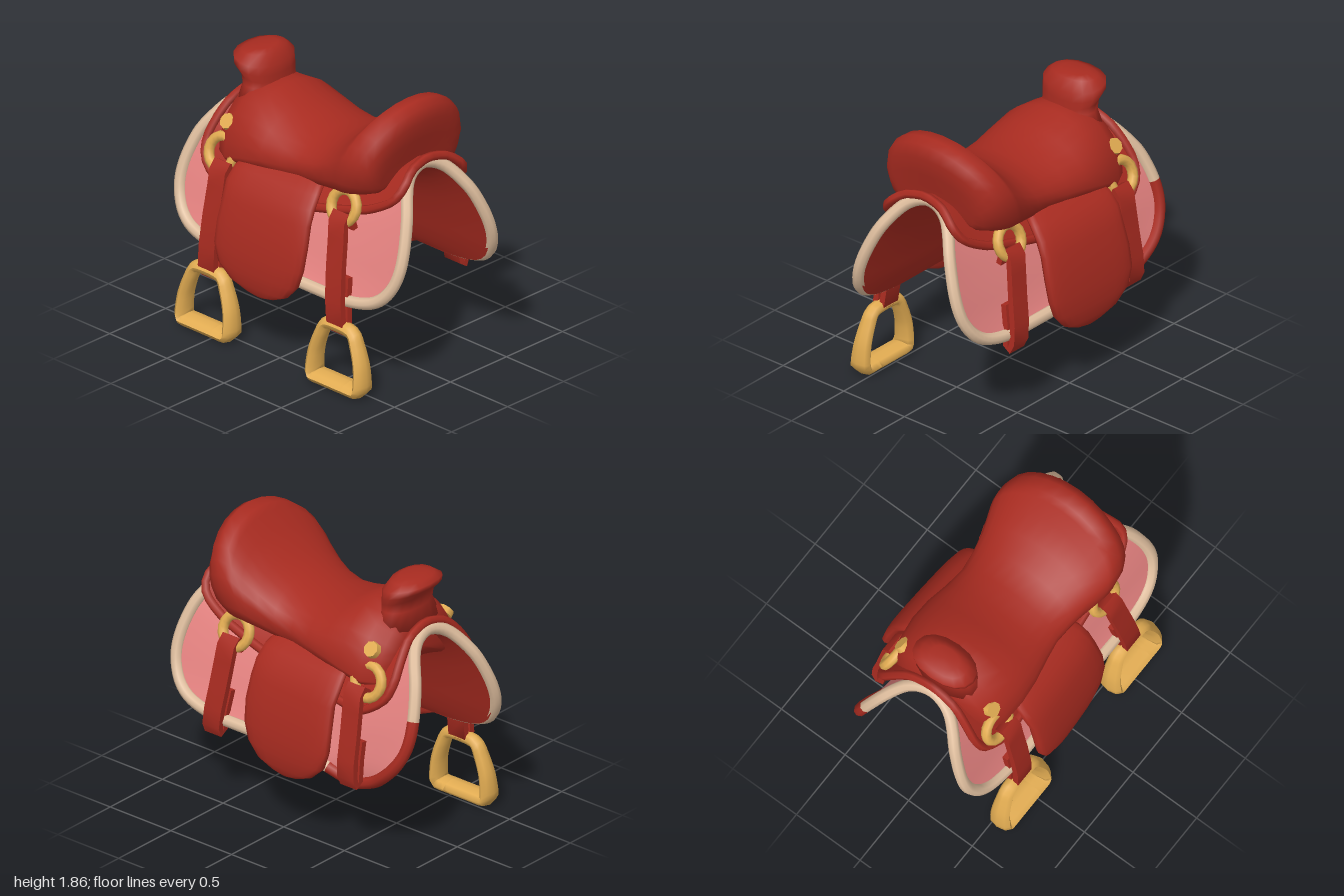
import * as THREE from 'three';
import { toCreasedNormals } from 'three/addons/utils/BufferGeometryUtils.js';

const V = (x, y, z) => new THREE.Vector3(x, y, z);

function createGeometry(points, index) {
  const g = new THREE.BufferGeometry().setFromPoints(points);
  g.setIndex(index);
  g.computeVertexNormals();
  return g;
}

// Open sheet from f(u, v), u and v in 0..1
function sheet(f, nu, nv, flip = false) {
  const pts = [], idx = [];
  for (let i = 0; i <= nu; i++) for (let j = 0; j <= nv; j++) pts.push(f(i / nu, j / nv));
  for (let i = 0; i < nu; i++) for (let j = 0; j < nv; j++) {
    const a = i * (nv + 1) + j, b = a + nv + 1, c = a + 1, d = b + 1;
    if (flip) idx.push(a, c, b, b, c, d);
    else idx.push(a, b, c, b, d, c);
  }
  return createGeometry(pts, idx);
}

// Closed solid through rings of equal length, capped at both ends
function loft(rings) {
  const n = rings[0].length, pts = rings.flat(), idx = [];
  for (let i = 0; i < rings.length - 1; i++) for (let j = 0; j < n; j++) {
    const a = i * n + j, b = i * n + (j + 1) % n;
    idx.push(a, b, a + n, b, b + n, a + n);
  }
  [rings[0], rings[rings.length - 1]].forEach((ring, end) => {
    const c = pts.length, base = end ? (rings.length - 1) * n : 0;
    pts.push(ring.reduce((s, p) => s.add(p), V(0, 0, 0)).divideScalar(n));
    for (let j = 0; j < n; j++) {
      const a = base + j, b = base + (j + 1) % n;
      if (end) idx.push(c, a, b); else idx.push(c, b, a);
    }
  });
  // turn the faces outward if the solid came out inverted
  let volume = 0;
  for (let i = 0; i < idx.length; i += 3) {
    volume += pts[idx[i]].dot(V(0, 0, 0).crossVectors(pts[idx[i + 1]], pts[idx[i + 2]]));
  }
  if (volume < 0) idx.reverse();
  return createGeometry(pts, idx);
}

// Rounded section; e = 1 is an ellipse, smaller is boxier
function ringOf(n, e, f) {
  const pw = (c) => Math.sign(c) * Math.abs(c) ** e;
  return Array.from({ length: n }, (_, i) => {
    const a = (i / n) * Math.PI * 2;
    return f(pw(Math.cos(a)), pw(Math.sin(a)));
  });
}

// Pad half profile from spine to hem: half length, height, width
const padProfile = new THREE.CatmullRomCurve3([
  [0.75, 1.44, 0], [0.77, 1.41, 0.12], [0.82, 1.34, 0.2], [0.9, 1.21, 0.285], [0.945, 1.06, 0.35],
  [0.96, 0.92, 0.4], [0.935, 0.8, 0.435], [0.86, 0.69, 0.47], [0.74, 0.625, 0.49], [0.5, 0.59, 0.5],
].map((p) => V(...p)));

function padPoint(s, v) {
  const t = Math.abs(s), p = padProfile.getPoint(t), x = p.x * v;
  const middle = 1 - Math.min(1, v * v); // lower and narrower midway along
  const y = p.y - 0.23 * middle * (1 - t) ** 1.4;
  // one back corner droops and curls inward
  const droop = s < 0 ? t ** 4 * Math.exp(-(((x + 0.58) / 0.3) ** 2)) : 0;
  const z = p.z * (1 - 0.06 * middle * Math.sin(Math.PI * t)) * (1 - 0.18 * droop);
  return V(x, y - 0.15 * droop, Math.sign(s) * z);
}

export function createModel() {
  const model = new THREE.Group();
  const material = (name, color, side = THREE.FrontSide) => {
    const m = new THREE.MeshStandardMaterial({ color, side });
    m.name = name;
    return m;
  };
  const leather = material('red leather', 0xa82b20, THREE.DoubleSide);
  const felt = material('pink felt', 0xe58280);
  const piping = material('tan piping', 0xdfbe9e);
  const brass = material('brass', 0xe2ac52);
  const add = (name, geometry, mat) => {
    const mesh = new THREE.Mesh(geometry, mat);
    mesh.name = name;
    model.add(mesh);
    return mesh;
  };

  // Saddle pad and its lining
  add('pad', sheet((u, v) => padPoint(u * 2 - 1, v * 2 - 1), 40, 24), felt);
  add('padLining', sheet((u, v) => {
    const p = padPoint(u * 2 - 1, v * 2 - 1);
    return V(p.x, p.y - 0.025, p.z * 0.93);
  }, 40, 24, true), leather);

  // Edge piping, red around the drooping corner
  const edge = [], N = 24;
  const corners = [[-1, 1], [-1, -1], [1, -1], [1, 1]];
  corners.forEach(([s, v], k) => {
    const [s2, v2] = corners[(k + 1) % 4];
    for (let i = 0; i < N; i++) {
      const f = i / N;
      edge.push(padPoint(s + (s2 - s) * f, v + (v2 - v) * f));
    }
  });
  const radial = 8, segs = 200;
  const pipe = new THREE.TubeGeometry(new THREE.CatmullRomCurve3(edge, true), segs, 0.04, radial, true);
  [[0, 22, 0], [22, 48, 1], [48, segs, 0]].forEach(([a, b, m]) =>
    pipe.addGroup(a * radial * 6, (b - a) * radial * 6, m));
  add('padPiping', pipe, [piping, leather]);

  // Leather skirt between pad and seat
  const skirtPoint = (u, v) => {
    const r = u * 2 - 1, w = v * 2 - 1, a = Math.abs(r);
    const x = 0.03 + 0.77 * w * (1 + 0.16 * a ** 2 - 0.4 * a ** 8);
    const s = r * (0.42 - 0.08 * w);
    const p = padPoint(s, x / padProfile.getPoint(Math.abs(s)).x);
    return V(x, p.y + 0.055, p.z * 1.22);
  };
  add('skirt', sheet(skirtPoint, 24, 20), leather);
  const skirtEdge = [];
  [[0, 1], [0, 0], [1, 0], [1, 1]].forEach(([u, v], k, all) => {
    const [u2, v2] = all[(k + 1) % 4];
    for (let i = 0; i < 14; i++) skirtEdge.push(skirtPoint(u + (u2 - u) * i / 14, v + (v2 - v) * i / 14));
  });
  add('skirtEdge', new THREE.TubeGeometry(new THREE.CatmullRomCurve3(skirtEdge, true), 90, 0.03, 6, true), leather);

  // Seat and cantle: base x, backward lean, half width, top, widest and bottom heights
  const seat = [
    [-0.71, 0, 0.26, 1.47, 1.26, 1.2], [-0.66, 0, 0.37, 1.56, 1.18, 1.14], [-0.56, 0, 0.425, 1.61, 1.18, 1.13],
    [-0.4, 0, 0.44, 1.61, 1.23, 1.15], [-0.25, 0, 0.43, 1.54, 1.26, 1.17], [-0.1, 0, 0.4, 1.505, 1.27, 1.17],
    [0.04, 0.1, 0.38, 1.485, 1.29, 1.18], [0.16, 0.3, 0.39, 1.52, 1.32, 1.19], [0.25, 0.42, 0.41, 1.6, 1.37, 1.2],
    [0.33, 0.42, 0.44, 1.72, 1.42, 1.22], [0.38, 0.4, 0.46, 1.81, 1.46, 1.23], [0.42, 0.37, 0.47, 1.85, 1.47, 1.24],
    [0.47, 0.43, 0.47, 1.857, 1.47, 1.24], [0.53, 0.44, 0.46, 1.825, 1.46, 1.25], [0.6, 0.4, 0.43, 1.735, 1.44, 1.27],
    [0.66, 0.28, 0.38, 1.61, 1.42, 1.29], [0.68, 0.2, 0.31, 1.51, 1.4, 1.32],
  ].map(([x, lean, w, top, mid, low]) => ringOf(28, 1, (c, s) => {
    const y = s >= 0 ? mid + (top - mid) * s : mid + (mid - low) * Math.sin(s * Math.PI * 0.7) + 0.07 * s ** 4;
    return V(x + lean * (y - 1.3), y, w * c);
  }));
  add('seat', loft(seat), leather);

  // Horn: centre x, height, radii, tilt
  add('horn', loft([
    [-0.58, 1.45, 0.14, 0.26, 0], [-0.585, 1.58, 0.112, 0.2, 0.05], [-0.59, 1.635, 0.118, 0.205, 0.25],
    [-0.625, 1.69, 0.147, 0.222, 0.3], [-0.63, 1.74, 0.15, 0.22, 0.2], [-0.63, 1.785, 0.105, 0.165, 0],
    [-0.63, 1.8, 0.068, 0.1, 0],
  ].map(([x, y, rx, rz, k]) => ringOf(16, 0.9, (c, s) => V(x + rx * c, y - k * rx * c, rz * s)))), leather);

  // Strap path: height, distance from the middle; it folds back at the bottom
  const strapPath = [[1.05, 0.395], [1.12, 0.41], [1.145, 0.44], [1.1, 0.475], [1, 0.49], [0.8, 0.53],
    [0.6, 0.56], [0.46, 0.565], [0.4, 0.545], [0.43, 0.515], [0.6, 0.5], [0.75, 0.475]];
  // Fender rows: height, edges, distance from the middle
  const fenderRows = [[1.26, -0.4, 0.2, 0.3], [1.18, -0.45, 0.24, 0.41], [1.1, -0.46, 0.255, 0.475],
    [1, -0.45, 0.26, 0.52], [0.85, -0.46, 0.27, 0.56], [0.7, -0.46, 0.26, 0.585], [0.58, -0.42, 0.22, 0.59],
    [0.49, -0.32, 0.14, 0.588], [0.44, -0.2, 0.03, 0.583], [0.425, -0.12, -0.05, 0.58]];

  for (const side of [1, -1]) {
    const tag = side > 0 ? 'Front' : 'Back';
    add('fender' + tag, loft(fenderRows.map(([y, l, r, z]) => ringOf(20, 0.6, (c, s) => {
      const x = (l + r) / 2 + (r - l) / 2 * c;
      return V(x, y, side * (z - 0.06 * (x + 0.1) + 0.048 * Math.min(1, (y - 0.36) / 0.15) * s));
    }))), leather);

    // straps without stirrups hang a little shorter and closer
    const path = strapPath.map(([y, z]) => (side < 0 && y < 1 ? [1 - (1 - y) * 0.83, z - 0.015] : [y, z]));
    for (const [top, bottom] of [[-0.555, -0.57], [0.48, 0.56]]) {
      const rings = path.map(([y, z], i) => {
        const a = path[Math.max(0, i - 1)], b = path[Math.min(path.length - 1, i + 1)];
        const len = Math.hypot(b[0] - a[0], b[1] - a[1]);
        const ny = -(b[1] - a[1]) / len * 0.02, nz = (b[0] - a[0]) / len * 0.02;
        const x = bottom + (top - bottom) * (y - 0.4) / 0.75;
        return [[-1, -1], [1, -1], [1, 1], [-1, 1]].map(([p, q]) =>
          V(x + p * 0.068, y + q * ny, side * (z + q * nz)));
      });
      add('strap' + tag, toCreasedNormals(loft(rings), 0.9), leather);
    }

    // Rigging rings, tucked under the seat edge
    for (const [x, z] of [[-0.61, 0.4], [0.47, 0.41]]) {
      const ring = add('riggingRing' + tag, new THREE.TorusGeometry(0.105, 0.034, 8, 16), brass);
      ring.position.set(x, 1.185, side * z);
      ring.rotation.x = -side * 0.35;
    }

    // Round stud beside the horn
    const stud = add('stud' + tag, new THREE.CylinderGeometry(0.052, 0.056, 0.04, 8), brass);
    stud.position.set(-0.6, 1.385, side * 0.35);
    stud.rotation.x = side * 0.95;
  }

  // Stirrups: a bent bar that widens toward the tread
  const half = [[0.1, 0.043], [0.195, 0.046], [0.208, 0.1], [0.195, 0.22], [0.155, 0.34], [0.1, 0.425]];
  const loop = [...half, ...half.slice().reverse().map(([x, y]) => [-x, y])].map(([x, y]) => V(x, y, 0));
  for (const x of [-0.575, 0.565]) {
    const g = new THREE.TubeGeometry(new THREE.CatmullRomCurve3(loop, true, 'catmullrom', 0.4), 48, 0.042, 8, true);
    const p = g.attributes.position;
    for (let i = 0; i < p.count; i++) {
      const f = Math.min(1, Math.max(0, p.getY(i) / 0.46));
      p.setZ(i, p.getZ(i) * (2.1 - 1.0 * f) + 0.56 - 0.02 * f);
    }
    g.computeVertexNormals();
    add('stirrup', g, brass).position.x = x;
  }
  return model;
}
